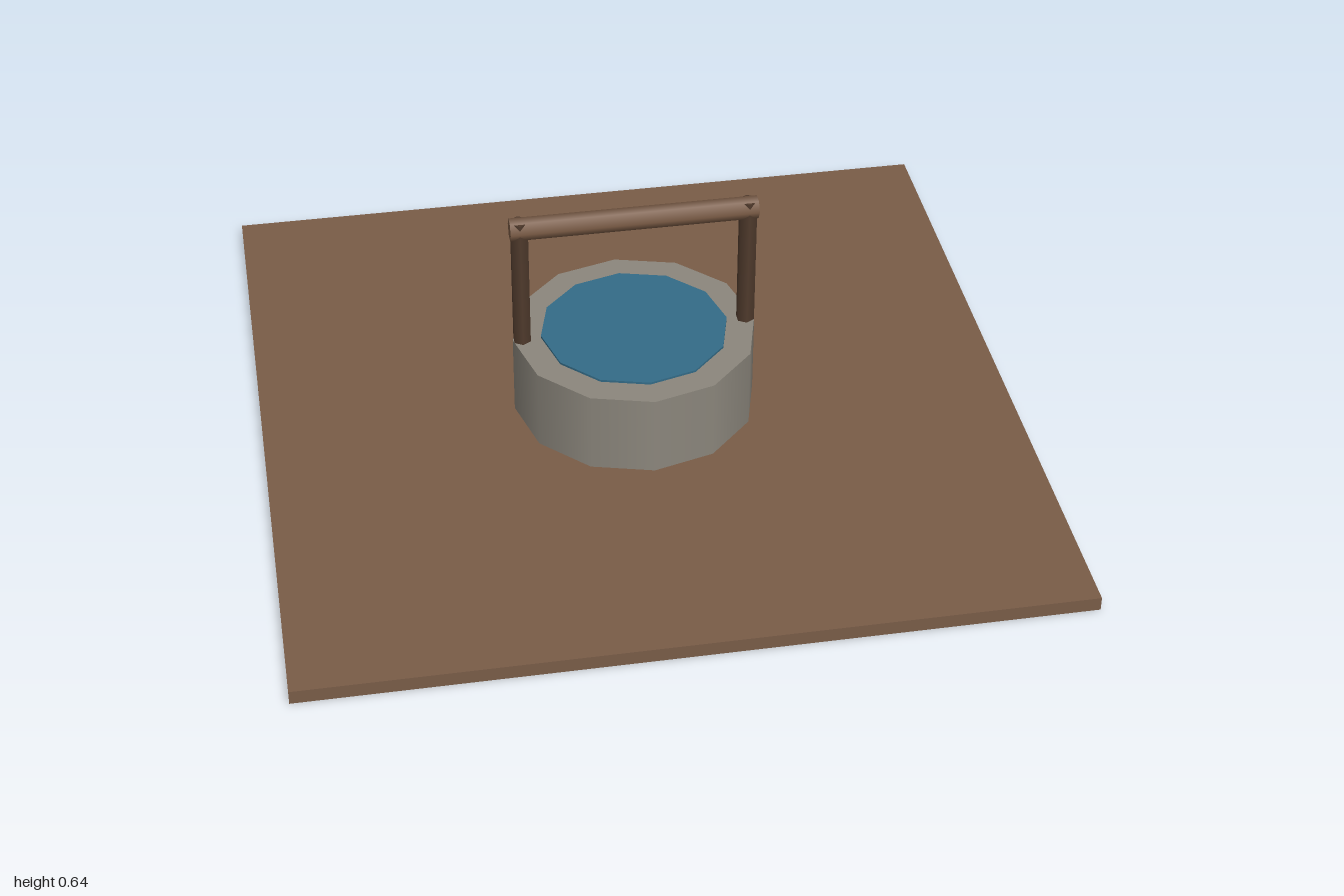
import * as THREE from 'three';

export function createModel() {
  const model = new THREE.Group();
  model.name = 'waterWell';

  const material = (name, color) => {
    const m = new THREE.MeshStandardMaterial({ color });
    m.name = name;
    return m;
  };
  const earth = material('earth brown', 0x795c47);
  const stone = material('stone grey', 0x8b867c);
  const water = material('water blue', 0x336b87);
  const darkWood = material('dark wood', 0x4f3a2c);
  const wood = material('wood', 0x795a44);

  const add = (name, geometry, mat, x, y, z) => {
    const mesh = new THREE.Mesh(geometry, mat);
    mesh.name = name;
    mesh.position.set(x, y, z);
    model.add(mesh);
    return mesh;
  };

  // Square slab of ground
  const groundTop = 0.0375;
  add('ground', new THREE.BoxGeometry(2, groundTop, 2), earth, 0, groundTop / 2, 0);

  // Twelve-sided stone wall with a thin disc of water on top
  const wallHeight = 0.225;
  const wallTop = groundTop + wallHeight;
  add('wall', new THREE.CylinderGeometry(0.325, 0.325, wallHeight, 12), stone,
    0, groundTop + wallHeight / 2, 0);
  add('water', new THREE.CylinderGeometry(0.25, 0.25, 0.006, 12), water,
    0, wallTop + 0.003, 0);

  // Six-sided posts standing on the wall
  const postHeight = 0.375;
  for (const [name, x] of [['leftPost', 0.3], ['rightPost', -0.3]]) {
    add(name, new THREE.CylinderGeometry(0.025, 0.025, postHeight, 6), darkWood,
      x, wallTop + postHeight / 2, 0);
  }

  // Crossbar joining the post tops
  const bar = add('crossbar', new THREE.CylinderGeometry(0.03, 0.03, 0.65, 6), wood,
    0, 0.614, 0);
  bar.rotation.z = Math.PI / 2;

  return model;
}
